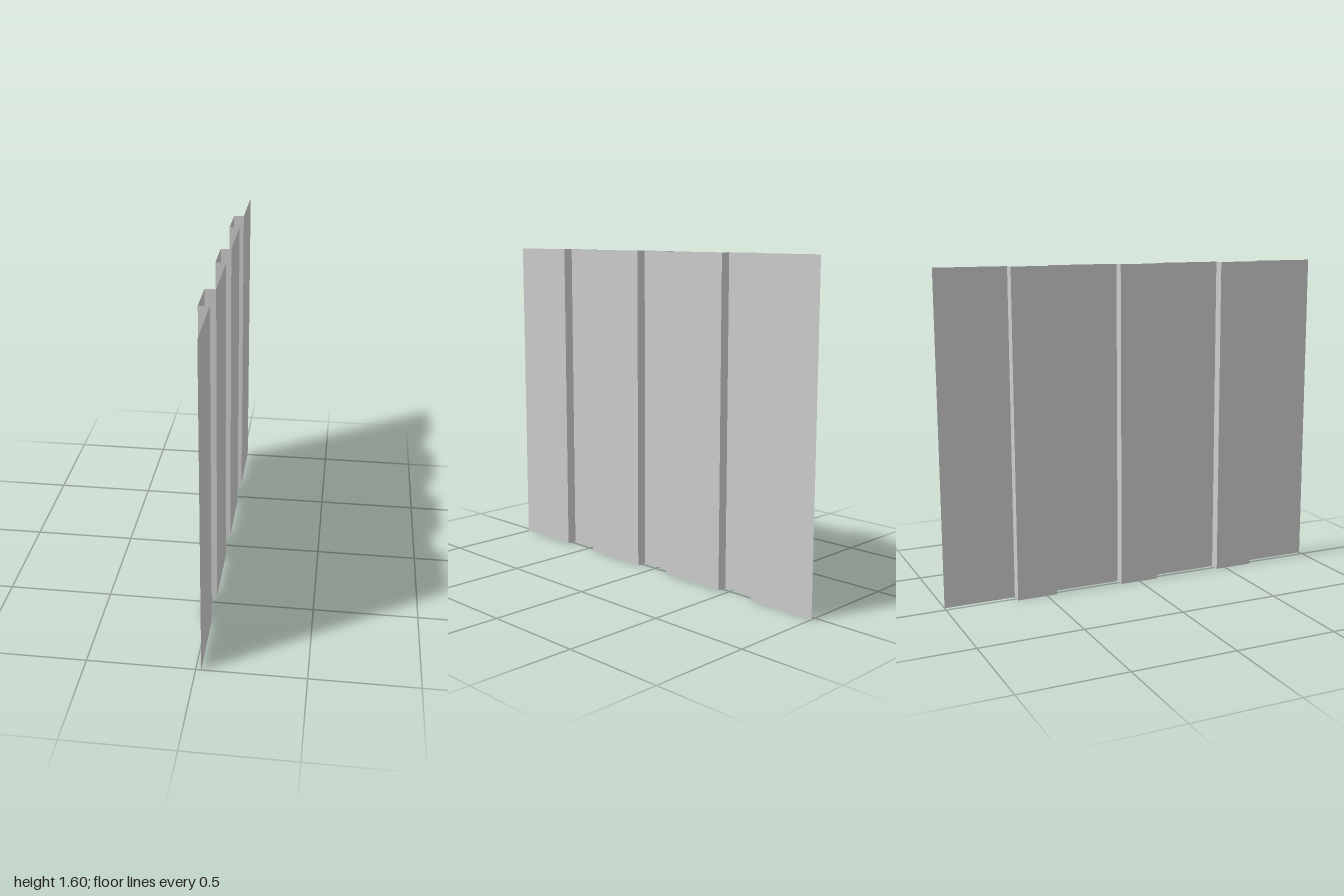
import * as THREE from 'three';

const HEIGHT = 1.6;
const DEPTH = 0.025;    // half the depth of the profile
const RIB_HALF = 0.1;   // half the width of a rib
const RIBS = [0.55, 0, -0.55];

// Cross-section of the sheet as [x, z], running from +z to -z
function sheetProfile() {
  const points = [[DEPTH, 1]];
  for (const z of RIBS) {
    points.push(
      [DEPTH, z + RIB_HALF], [-DEPTH, z + RIB_HALF],
      [-DEPTH, z - RIB_HALF], [DEPTH, z - RIB_HALF],
    );
  }
  points.push([DEPTH, -1]);
  return points;
}

// Thin sheet: one flat quad per profile segment, so folds stay sharp
function foldedSheet(profile, height) {
  const positions = [];
  const indices = [];
  for (let i = 0; i < profile.length - 1; i++) {
    const [ax, az] = profile[i];
    const [bx, bz] = profile[i + 1];
    const n = positions.length / 3;
    positions.push(ax, 0, az, bx, 0, bz, bx, height, bz, ax, height, az);
    indices.push(n, n + 1, n + 2, n, n + 2, n + 3);
  }
  const geometry = new THREE.BufferGeometry();
  geometry.setAttribute('position', new THREE.Float32BufferAttribute(positions, 3));
  geometry.setIndex(indices);
  geometry.computeVertexNormals();
  return geometry;
}

export function createModel() {
  const group = new THREE.Group();
  group.name = 'corrugatedPanel';

  // Ribbed metal sheet, seen from both sides
  const material = new THREE.MeshStandardMaterial({ color: 0xcccccc, side: THREE.DoubleSide });
  const sheet = new THREE.Mesh(foldedSheet(sheetProfile(), HEIGHT), material);
  sheet.name = 'ribbedSheet';
  group.add(sheet);

  return group;
}
